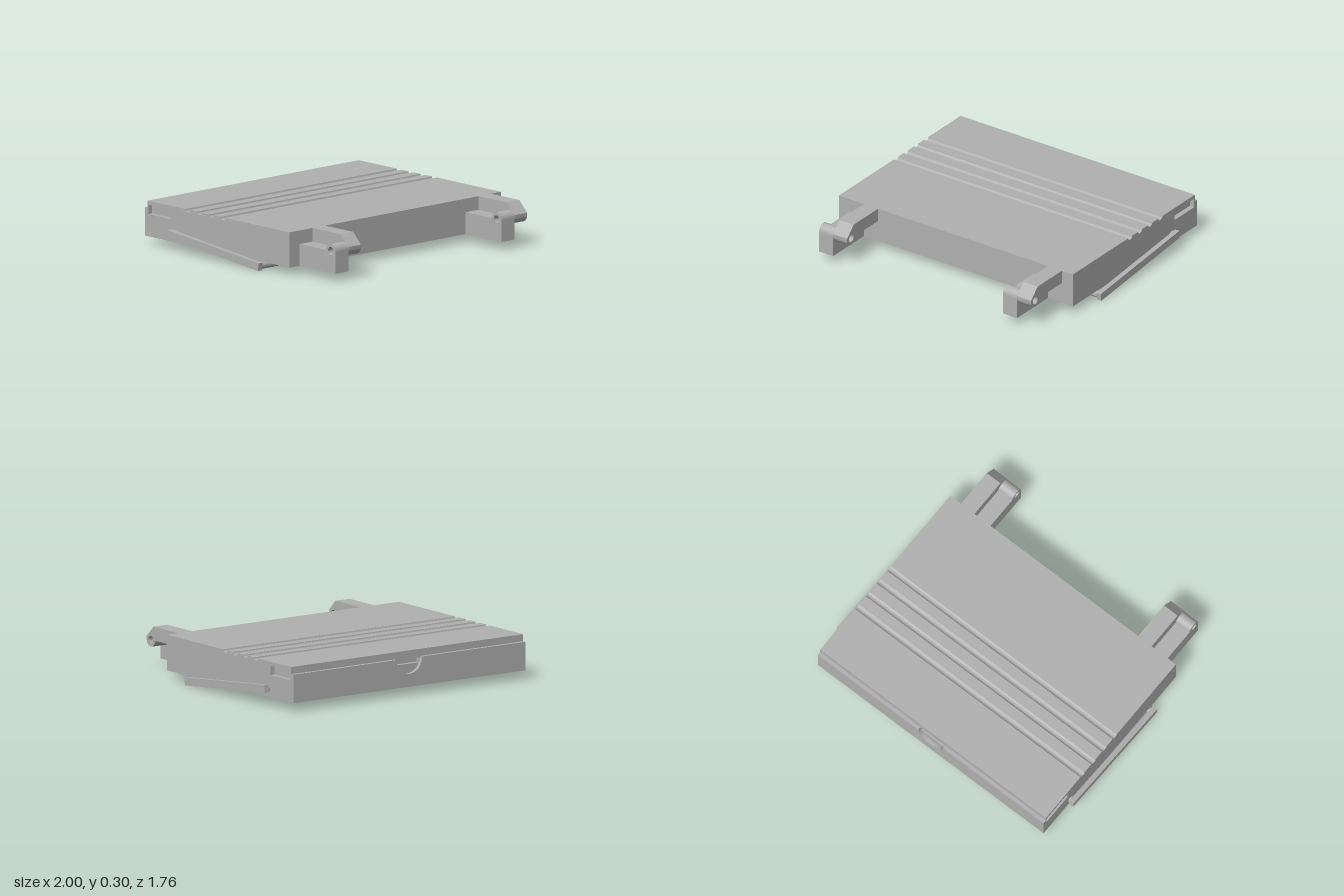
import * as THREE from 'three';
import { toCreasedNormals } from 'three/addons/utils/BufferGeometryUtils.js';

const HALF = 0.955, BOTTOM = 0.06, TOP = 0.3;
const FRONT = 0.53, REAR = -0.855, BACK = -0.88;
const PIN = { z: 0.833, y: 0.208, r: 0.047, bore: 0.026 };

const grey = new THREE.MeshStandardMaterial({ color: 0xb0b0b0 });
grey.name = 'grey plastic';

function add(parent, name, geometry) {
  const mesh = new THREE.Mesh(geometry, grey);
  mesh.name = name;
  parent.add(mesh);
  return mesh;
}

// Extrudes a shape over a given depth with crisp edges and smooth curves.
function extrude(shape, depth) {
  const g = new THREE.ExtrudeGeometry(shape, { depth, bevelEnabled: false, curveSegments: 20 });
  return toCreasedNormals(g, 0.6);
}

// Extrudes a (z, y) side profile from x0 to x1.
function extrudeX(shape, x0, x1) {
  return extrude(shape, x1 - x0).rotateY(-Math.PI / 2).translate(x1, 0, 0);
}

function rectPath(x0, y0, x1, y1, Type = THREE.Path) {
  const p = new Type();
  p.moveTo(x0, y0);
  p.lineTo(x1, y0);
  p.lineTo(x1, y1);
  p.lineTo(x0, y1);
  p.closePath();
  return p;
}

// Side profile of the case with four grip grooves along the top.
function caseProfile(rear) {
  const s = new THREE.Shape();
  s.moveTo(rear, TOP);
  s.lineTo(rear, BOTTOM);
  s.lineTo(FRONT, BOTTOM);
  s.lineTo(FRONT, TOP);
  for (const z of [-0.12, -0.233, -0.348, -0.463]) {
    s.lineTo(z + 0.024, TOP);
    s.absellipse(z, TOP, 0.024, 0.02, 0, Math.PI, true);
  }
  s.closePath();
  return s;
}

function boreHole() {
  const h = new THREE.Path();
  h.absarc(PIN.z, PIN.y, PIN.bore, 0, Math.PI * 2, true);
  return h;
}

// Upper hinge arm: chamfered nose with a rounded eye below.
function upperArm() {
  const s = new THREE.Shape();
  s.moveTo(FRONT, TOP);
  s.lineTo(FRONT, PIN.y);
  s.lineTo(PIN.z - PIN.r, PIN.y);
  s.absarc(PIN.z, PIN.y, PIN.r, Math.PI, Math.PI * 2, false);
  s.lineTo(0.88, 0.226);
  s.lineTo(0.806, TOP);
  s.closePath();
  s.holes.push(boreHole());
  return s;
}

// Lower hinge arm: square block with a rounded eye on top.
function lowerArm() {
  const s = new THREE.Shape();
  s.moveTo(FRONT, PIN.y);
  s.lineTo(FRONT, BOTTOM);
  s.lineTo(0.88, BOTTOM);
  s.lineTo(0.88, PIN.y);
  s.absarc(PIN.z, PIN.y, PIN.r, 0, Math.PI, false);
  s.closePath();
  s.holes.push(boreHole());
  return s;
}

export function createModel() {
  const model = new THREE.Group();
  model.name = 'hinged case';

  // Case body, with thin cheeks that carry the side slots
  const body = new THREE.Group();
  body.name = 'body';
  model.add(body);
  const cheek = 0.92, core = -0.825;
  add(body, 'core', extrudeX(caseProfile(core), -cheek, cheek));
  for (const side of [-1, 1]) {
    const shape = caseProfile(REAR);
    shape.holes.push(rectPath(-0.848, 0.21, -0.625, 0.273));
    const x = [side * cheek, side * HALF].sort((a, b) => a - b);
    add(body, side > 0 ? 'leftCheek' : 'rightCheek', extrudeX(shape, x[0], x[1]));
  }

  // Rear wall with the latch slot
  const wall = rectPath(-cheek, BOTTOM, cheek, TOP, THREE.Shape);
  wall.holes.push(rectPath(-0.1, 0.21, 0.1, 0.245));
  add(body, 'rearWall', extrude(wall, core - REAR).translate(0, 0, REAR));

  // Rear lip with a half-round thumb notch
  const lip = new THREE.Shape();
  lip.moveTo(-HALF, 0.252);
  lip.lineTo(-HALF, BOTTOM);
  lip.lineTo(HALF, BOTTOM);
  lip.lineTo(HALF, 0.252);
  lip.lineTo(0.105, 0.252);
  lip.absarc(0, 0.252, 0.105, 0, Math.PI, true);
  lip.closePath();
  add(body, 'rearLip', extrude(lip, REAR - BACK).translate(0, 0, BACK));

  // Two hinges, each a lower arm beside an upper arm
  for (const x of [-0.75, 0.75]) {
    const hinge = new THREE.Group();
    hinge.name = x > 0 ? 'leftHinge' : 'rightHinge';
    const w = 0.115;
    add(hinge, 'lowerArm', extrudeX(lowerArm(), x - w, x));
    add(hinge, 'upperArm', extrudeX(upperArm(), x, x + w));
    model.add(hinge);
  }

  // Folding bail: side bars, pivot pins and a cross rod
  const bail = new THREE.Group();
  bail.name = 'bail';
  bail.position.set(0, 0.075, -0.173);
  bail.rotation.x = 0.1;
  model.add(bail);
  const rod = (len) => new THREE.CylinderGeometry(0.025, 0.025, len, 24).rotateZ(Math.PI / 2);
  for (const side of [-1, 1]) {
    add(bail, 'sideBar', new THREE.BoxGeometry(0.035, 0.053, 0.896)).position.x = side * 0.9825;
    add(bail, 'pivotPin', rod(0.03)).position.set(side * 0.955, 0, -0.422);
  }
  add(bail, 'crossRod', rod(1.94)).position.z = 0.422;

  return model;
}
